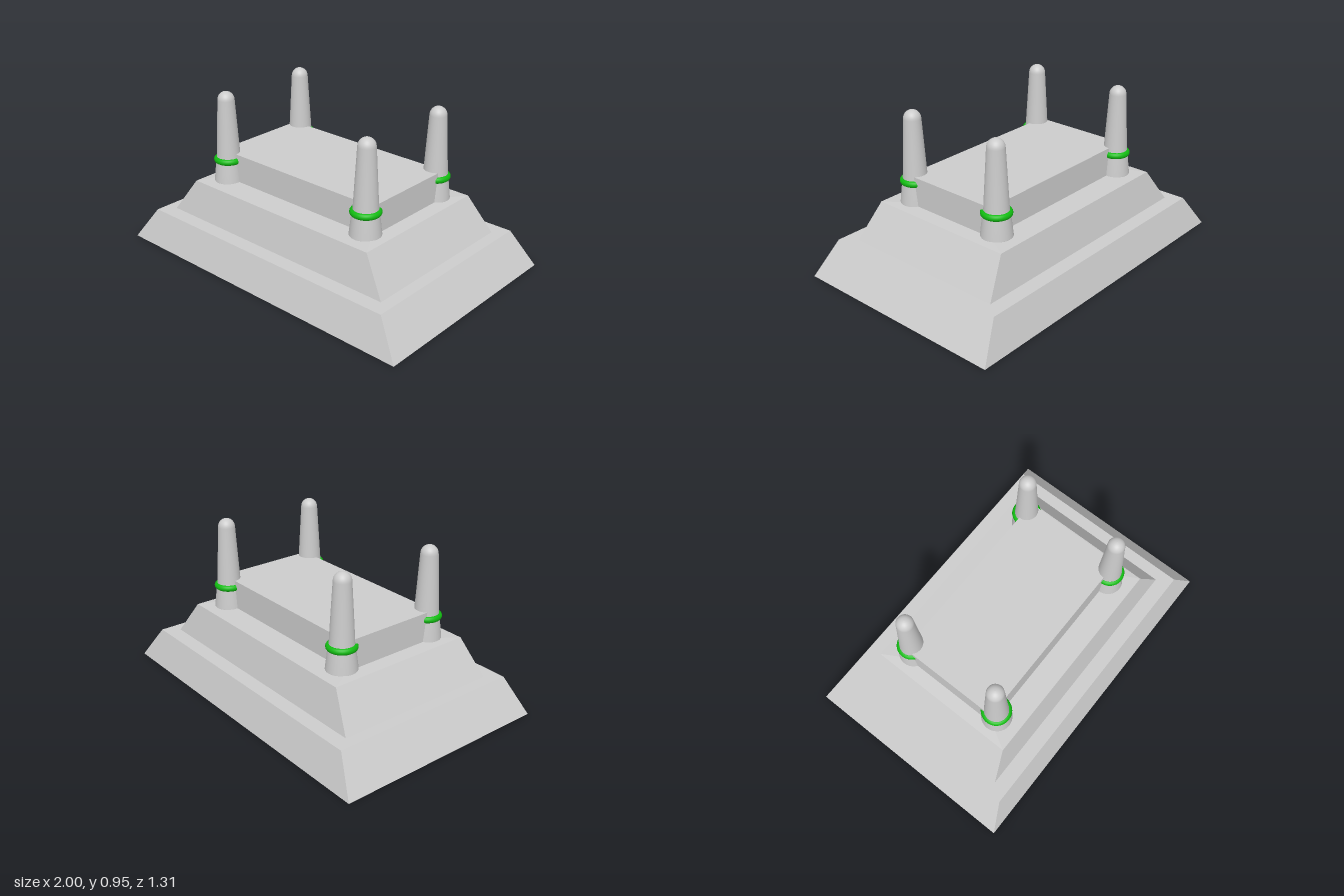
import * as THREE from 'three';

const grey = new THREE.MeshStandardMaterial({ color: 0xcccccc });
const green = new THREE.MeshStandardMaterial({ color: 0x11bb11 });

// Rectangular frustum: half sizes at the bottom [x, z] and at the top [x, z]
function frustum(name, y0, y1, [bx, bz], [tx, tz]) {
  const geo = new THREE.BoxGeometry(2, y1 - y0, 2);
  const p = geo.attributes.position;
  for (let i = 0; i < p.count; i++) {
    const top = p.getY(i) > 0;
    p.setX(i, p.getX(i) * (top ? tx : bx));
    p.setZ(i, p.getZ(i) * (top ? tz : bz));
  }
  geo.translate(0, (y0 + y1) / 2, 0);
  geo.computeVertexNormals();
  const mesh = new THREE.Mesh(geo, grey);
  mesh.name = name;
  return mesh;
}

// Tapered post with a rounded tip and a collar ring
function post(name, x, z) {
  const group = new THREE.Group();
  group.name = name;
  const profile = [[0, 0.4], [0.088, 0.4], [0.088, 0.412], [0.075, 0.52], [0.068, 0.57], [0.049, 0.9]]
    .map(([r, y]) => new THREE.Vector2(r, y));
  for (let i = 1; i <= 8; i++) {
    const a = (i / 8) * Math.PI / 2;
    profile.push(new THREE.Vector2(i === 8 ? 0 : 0.049 * Math.cos(a), 0.9 + 0.05 * Math.sin(a)));
  }
  const shaft = new THREE.Mesh(new THREE.LatheGeometry(profile, 40), grey);
  shaft.name = 'postShaft';
  const ring = new THREE.Mesh(new THREE.TorusGeometry(0.067, 0.019, 16, 48), green);
  ring.name = 'postRing';
  ring.rotation.x = Math.PI / 2;
  ring.position.y = 0.54;
  group.add(shaft, ring);
  group.position.set(x, 0, z);
  return group;
}

export function createModel() {
  const model = new THREE.Group();
  model.name = 'steppedPlatform';

  // Stepped base with a barely sloping terrace around the upper block
  model.add(
    frustum('lowerTier', 0, 0.2, [1, 0.655], [0.86, 0.588]),
    frustum('upperTier', 0.19, 0.406, [0.797, 0.5025], [0.65, 0.448]),
    frustum('terrace', 0.406, 0.415, [0.65, 0.448], [0.57, 0.305]),
    frustum('topBlock', 0.41, 0.583, [0.572, 0.307], [0.57, 0.305])
  );

  // Corner posts
  for (const sx of [-1, 1]) {
    for (const sz of [-1, 1]) {
      const name = (sz > 0 ? 'front' : 'back') + (sx > 0 ? 'Left' : 'Right') + 'Post';
      model.add(post(name, sx * 0.52, sz * 0.302));
    }
  }
  return model;
}
